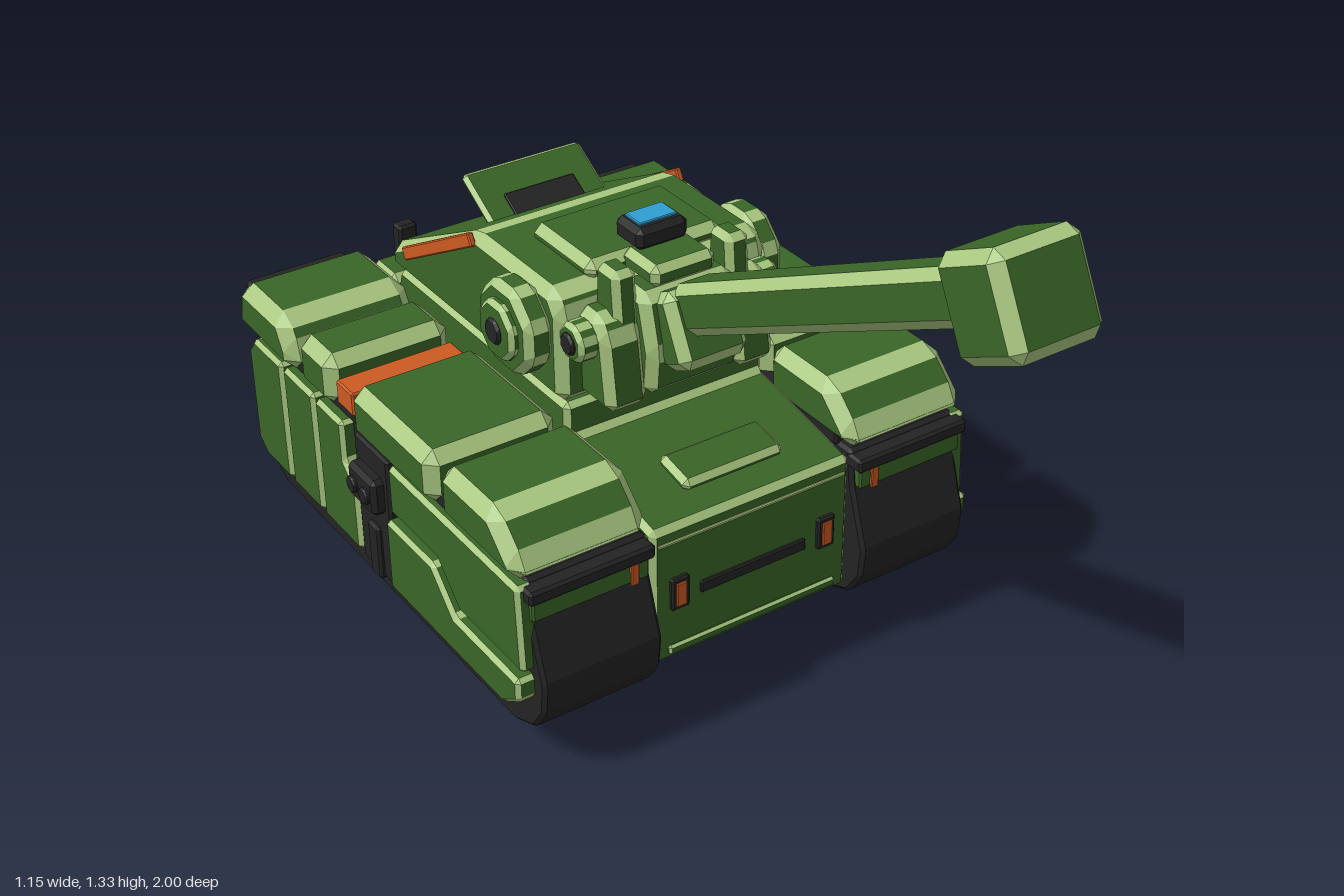
import * as THREE from 'three';

const mat = (name, color) => Object.assign(new THREE.MeshStandardMaterial({ color }), { name });

// Chamfered prism: caps and sides in group 0, chamfers in group 1.
// The profile is [z, y] points; the prism runs along x, centred on 0.
function prismGeometry(profile, width, b) {
  let p = profile.map(([z, y]) => new THREE.Vector2(z, y));
  if (THREE.ShapeUtils.isClockWise(p)) p.reverse();
  const n = p.length, h = width / 2;
  const dir = p.map((a, i) => p[(i + 1) % n].clone().sub(a).normalize());
  const inset = p.map((a, i) => {
    const d0 = dir[(i + n - 1) % n], d1 = dir[i];
    const k = b / (1 + d0.dot(d1));
    return new THREE.Vector2(a.x - (d0.y + d1.y) * k, a.y + (d0.x + d1.x) * k);
  });
  const start = p.map((a, i) => a.clone().addScaledVector(dir[i], b));
  const end = p.map((a, i) => p[(i + 1) % n].clone().addScaledVector(dir[i], -b));
  const face = [], edge = [];
  const at = (v, w) => [-w, v.y, v.x];
  const tri = (out, a, c, d) => out.push(...a, ...c, ...d);
  const quad = (out, a, c, d, e) => { tri(out, a, c, d); tri(out, a, d, e); };
  for (const [a, c, d] of THREE.ShapeUtils.triangulateShape(inset, [])) {
    tri(face, at(inset[a], h), at(inset[c], h), at(inset[d], h));
    tri(face, at(inset[d], -h), at(inset[c], -h), at(inset[a], -h));
  }
  const l = h - b;
  for (let i = 0; i < n; i++) {
    const j = (i + 1) % n, q = (i + n - 1) % n;
    quad(face, at(start[i], -l), at(end[i], -l), at(end[i], l), at(start[i], l));
    quad(edge, at(start[i], l), at(end[i], l), at(inset[j], h), at(inset[i], h));
    quad(edge, at(inset[i], -h), at(inset[j], -h), at(end[i], -l), at(start[i], -l));
    quad(edge, at(end[q], -l), at(start[i], -l), at(start[i], l), at(end[q], l));
    tri(edge, at(end[q], l), at(start[i], l), at(inset[i], h));
    tri(edge, at(inset[i], -h), at(start[i], -l), at(end[q], -l));
  }
  const g = new THREE.BufferGeometry();
  g.setAttribute('position', new THREE.Float32BufferAttribute([...face, ...edge], 3));
  g.addGroup(0, face.length / 3, 0);
  g.addGroup(face.length / 3, edge.length / 3, 1);
  g.computeVertexNormals();
  return g;
}

export function createModel() {
  const green = mat('armourGreen', 0x3a6627), pale = mat('paleEdge', 0xa9c880);
  const black = mat('trackBlack', 0x232323), orange = mat('lampOrange', 0xcc5a22);
  const blue = mat('sightBlue', 0x2f9fd2);
  const armour = [green, pale], dark = [black, black], lamp = [orange, orange], glass = [blue, blue];
  const model = new THREE.Group();
  model.name = 'tank';

  const prism = (name, profile, x0, x1, b = 0.02, m = armour) => {
    const mesh = new THREE.Mesh(prismGeometry(profile, x1 - x0, b), m);
    mesh.name = name;
    mesh.position.x = (x0 + x1) / 2;
    model.add(mesh);
    return mesh;
  };
  const box = (name, [x, y, z], [w, h, d], b = 0.02, m = armour, tilt = 0) => {
    const mesh = prism(name, [[-d / 2, -h / 2], [d / 2, -h / 2], [d / 2, h / 2], [-d / 2, h / 2]], -w / 2, w / 2, b, m);
    mesh.position.set(x, y, z);
    mesh.rotation.x = tilt;
    return mesh;
  };
  const octagon = (name, x, y, z, r, w, b, m = armour) => {
    const pts = Array.from({ length: 8 }, (_, i) => {
      const a = (i + 0.5) * Math.PI / 4;
      return [r * Math.cos(a), r * Math.sin(a)];
    });
    prism(name, pts, -w / 2, w / 2, b, m).position.set(x, y, z);
  };
  // Same prism on both sides, x0 and x1 measured outwards
  const pair = (name, profile, x0, x1, b, m) => {
    prism(name + 'Left', profile, x0, x1, b, m);
    prism(name + 'Right', profile, -x1, -x0, b, m);
  };

  // Hull
  prism('hull', [[0.2, 0.125], [0.2, 0.445], [-0.1, 0.5], [-0.1, 0.58], [-0.78, 0.58],
    [-0.82, 0.47], [-0.94, 0.45], [-0.94, 0.2], [-0.88, 0.125]], -0.24, 0.24, 0.012);
  box('glacisPlate', [0, 0.478, 0.09], [0.24, 0.03, 0.1], 0.012, armour, 0.18);
  box('noseLine', [0, 0.41, 0.2], [0.45, 0.008, 0.008], 0.002, [pale, pale]);
  box('noseLowerLine', [0, 0.155, 0.203], [0.41, 0.022, 0.012], 0.005);
  box('noseSlot', [0, 0.278, 0.2], [0.255, 0.027, 0.014], 0.003, dark);
  box('rearSlot', [0, 0.29, -0.94], [0.2, 0.025, 0.014], 0.003, dark);
  box('rearDeck', [0, 0.485, -0.91], [0.45, 0.06, 0.11], 0.018);
  box('engineBox', [0, 0.53, -0.83], [0.26, 0.08, 0.08], 0.015);
  box('engineGrille', [0, 0.53, -0.872], [0.2, 0.05, 0.008], 0.002, dark);
  box('bellyPlateFront', [0, 0.114, -0.1], [0.35, 0.025, 0.42], 0.01);
  box('bellyPlateRear', [0, 0.114, -0.58], [0.35, 0.025, 0.48], 0.01);

  // Tracks, skirts and fenders
  pair('track', [[0.246, 0.23], [0.2, 0.37], [0.19, 0.45], [-0.95, 0.45], [-0.98, 0.26], [-0.97, 0.17],
    [-0.93, 0.11], [-0.87, 0.075], [0.13, 0.075], [0.2, 0.105], [0.238, 0.16]], 0.245, 0.515, 0.008, dark);
  pair('skirtFrontUpper', [[0.2, 0.445], [0.21, 0.25], [-0.03, 0.25], [-0.11, 0.33], [-0.3, 0.33], [-0.3, 0.445]],
    0.5, 0.54, 0.009);
  pair('skirtFrontLower', [[0.21, 0.24], [0.21, 0.19], [0.15, 0.15], [-0.3, 0.15], [-0.3, 0.32], [-0.11, 0.32],
    [-0.03, 0.24]], 0.5, 0.553, 0.009);
  pair('skirtRearFirst', [[-0.49, 0.445], [-0.49, 0.35], [-0.445, 0.31], [-0.445, 0.15], [-0.61, 0.15], [-0.61, 0.445]],
    0.5, 0.545, 0.009);
  pair('skirtRearSecond', [[-0.62, 0.445], [-0.62, 0.15], [-0.76, 0.15], [-0.76, 0.445]], 0.5, 0.545, 0.009);
  pair('skirtRearThird', [[-0.77, 0.445], [-0.77, 0.15], [-0.89, 0.15], [-0.93, 0.18], [-0.93, 0.41], [-0.9, 0.445]],
    0.5, 0.545, 0.009);
  pair('fenderFront', [[0.2, 0.445], [0.19, 0.49], [0.11, 0.565], [-0.088, 0.565], [-0.088, 0.445]], 0.24, 0.54, 0.026);
  pair('fenderMiddle', [[-0.11, 0.445], [-0.11, 0.565], [-0.44, 0.565], [-0.44, 0.445]], 0.25, 0.545, 0.026);
  pair('fenderThird', [[-0.54, 0.445], [-0.54, 0.565], [-0.685, 0.565], [-0.685, 0.445]], 0.25, 0.54, 0.026);
  pair('fenderRear', [[-0.71, 0.445], [-0.71, 0.5], [-0.75, 0.568], [-0.95, 0.568], [-0.975, 0.45]], 0.24, 0.548, 0.028);
  pair('fenderBase', [[0.15, 0.44], [0.15, 0.475], [-0.93, 0.475], [-0.93, 0.44]], 0.24, 0.52, 0.006, dark);

  for (const s of [-1, 1]) {
    const side = s > 0 ? 'Left' : 'Right';
    // Side details
    box('fenderOrangeBand' + side, [s * 0.395, 0.5, -0.49], [0.27, 0.055, 0.072], 0.004, lamp);
    box('sideColumn' + side, [s * 0.51, 0.295, -0.372], [0.06, 0.31, 0.14], 0.006, dark);
    box('sideColumnRib' + side, [s * 0.54, 0.2, -0.37], [0.02, 0.13, 0.045], 0.006, dark);
    box('sideLampHousing' + side, [s * 0.547, 0.355, -0.375], [0.04, 0.085, 0.11], 0.01, dark);
    for (const z of [-0.35, -0.402]) octagon('sideLamp' + side, s * 0.568, 0.355, z, 0.02, 0.016, 0.004, dark);
    // Front details
    box('frontBar' + side, [s * 0.385, 0.425, 0.195], [0.28, 0.032, 0.06], 0.006, dark);
    box('frontPanel' + side, [s * 0.385, 0.387, 0.19], [0.26, 0.045, 0.05], 0.004, [green, green]);
    box('frontMarker' + side, [s * 0.29, 0.387, 0.217], [0.018, 0.05, 0.008], 0.002, lamp);
    box('headlampFrame' + side, [s * 0.178, 0.288, 0.2], [0.042, 0.075, 0.02], 0.004, dark);
    box('headlamp' + side, [s * 0.178, 0.288, 0.211], [0.024, 0.055, 0.006], 0.002, lamp);
    // Rear details
    box('tailLampFrame' + side, [s * 0.39, 0.505, -0.975], [0.24, 0.068, 0.04], 0.008, dark);
    for (const x of [0.337, 0.443]) box('tailLamp' + side, [s * x, 0.505, -0.996], [0.088, 0.042, 0.008], 0.002, lamp);
    box('rearHullPanel' + side, [s * 0.17, 0.38, -0.945], [0.07, 0.055, 0.03], 0.008);
    box('rearTurretLampFrame' + side, [s * 0.21, 0.625, -0.8], [0.045, 0.1, 0.035], 0.006, dark);
    for (const y of [0.6, 0.648]) box('rearTurretLamp' + side, [s * 0.21, y, -0.818], [0.03, 0.03, 0.008], 0.002, lamp);
    // Turret side discs and stripe
    octagon('turretDisc' + side, s * 0.275, 0.722, -0.22, 0.105, 0.065, 0.016);
    octagon('turretDiscRing' + side, s * 0.31, 0.722, -0.22, 0.068, 0.03, 0.01);
    octagon('turretDiscHub' + side, s * 0.32, 0.722, -0.22, 0.03, 0.024, 0.006, dark);
    octagon('mantletPivot' + side, s * 0.215, 0.733, -0.08, 0.045, 0.05, 0.01);
    octagon('mantletPivotHub' + side, s * 0.238, 0.733, -0.08, 0.025, 0.02, 0.005, dark);
    box('turretStripe' + side, [s * 0.253, 0.731, -0.57], [0.014, 0.03, 0.34], 0.003, lamp, -0.507);
    box('undersidePad' + side, [s * 0.067, 0.023, -0.365], [0.125, 0.042, 0.06], 0.01, dark);
  }

  // Turret
  prism('turret', [[-0.1, 0.58], [-0.1, 0.78], [-0.13, 0.825], [-0.43, 0.825], [-0.8, 0.635], [-0.8, 0.58]],
    -0.25, 0.25, 0.022);
  box('roofPlate', [0, 0.835, -0.24], [0.32, 0.045, 0.22], 0.018);
  box('rearFlap', [0, 0.782, -0.58], [0.29, 0.022, 0.175], 0.009, armour, 0.54);
  box('rearFlapWindow', [0, 0.772, -0.538], [0.17, 0.008, 0.1], 0.002, dark, 0.54);
  pair('mantletCheek', [[0, 0.59], [-0.02, 0.75], [-0.05, 0.79], [-0.12, 0.79], [-0.12, 0.59]], 0.105, 0.2, 0.018);
  pair('mantletTower', [[-0.03, 0.74], [-0.04, 0.875], [-0.11, 0.875], [-0.12, 0.74]], 0.105, 0.16, 0.014);
  prism('mantlet', [[0, 0.6], [0.01, 0.7], [-0.02, 0.82], [-0.12, 0.82], [-0.12, 0.6]], -0.11, 0.11, 0.02);
  box('sightMount', [0, 0.84, -0.09], [0.15, 0.05, 0.12], 0.015);
  box('sight', [0, 0.885, -0.15], [0.12, 0.05, 0.09], 0.012, dark);
  box('sightGlass', [0, 0.911, -0.152], [0.088, 0.008, 0.055], 0.002, glass);

  // Gun, raised along its own axis
  const tilt = -0.468;
  const along = (t) => [0, 0.778 + t * 0.451, t * 0.8925];
  const [, ry, rz] = along(0.0);
  box('gunRoot', [0, ry - 0.035, rz + 0.01], [0.16, 0.16, 0.09], 0.02, armour, tilt);
  box('barrel', along(0.45), [0.11, 0.105, 0.9], 0.02, armour, tilt);
  box('barrelCollar', along(0.905), [0.13, 0.125, 0.04], 0.015, armour, tilt);
  box('muzzle', [0, 1.219, 0.893], [0.194, 0.19, 0.165], 0.022, armour, tilt);
  return model;
}
